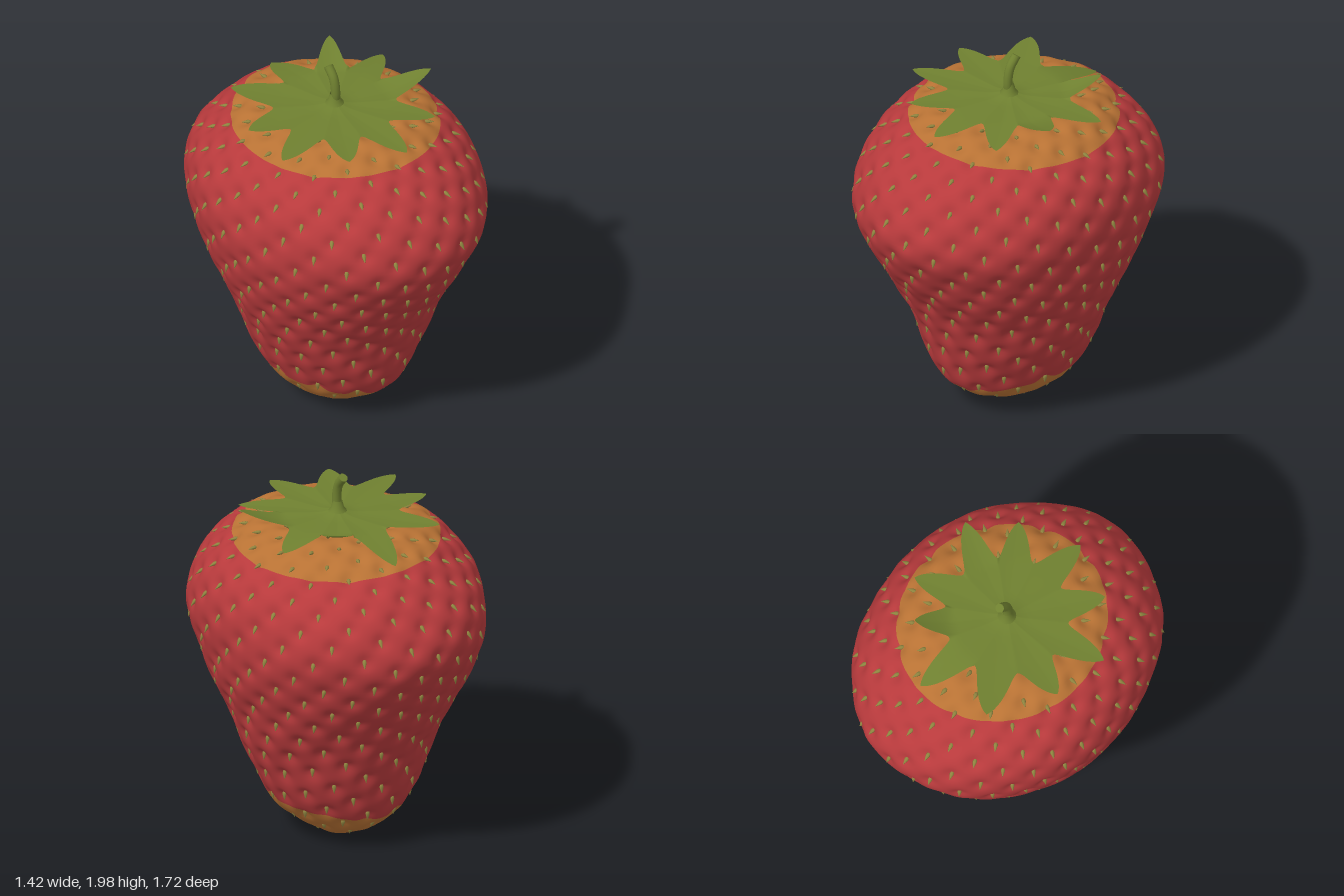
import * as THREE from 'three';
import { mergeGeometries } from 'three/addons/utils/BufferGeometryUtils.js';

const mat = (name, color, side = THREE.FrontSide) => {
  const m = new THREE.MeshStandardMaterial({ color, side });
  m.name = name;
  return m;
};

// Closed ring grid: point(i, j) gives the vertex at column i, row j
function ringGrid(cols, rows, point) {
  const pos = [], idx = [];
  for (let j = 0; j <= rows; j++)
    for (let i = 0; i < cols; i++) pos.push(...point(i, j).toArray());
  for (let j = 0; j < rows; j++)
    for (let i = 0; i < cols; i++) {
      const n = (i + 1) % cols, a = j * cols + i, b = j * cols + n;
      idx.push(a, b, b + cols, a, b + cols, a + cols);
    }
  const g = new THREE.BufferGeometry();
  g.setAttribute('position', new THREE.Float32BufferAttribute(pos, 3));
  g.setIndex(idx);
  g.computeVertexNormals();
  return g;
}

// Body profile: half width in x, half depth in z, height
const profile = new THREE.CatmullRomCurve3([
  [0, 0, 0.02], [0.12, 0.14, 0.04], [0.22, 0.26, 0.1], [0.325, 0.375, 0.2], [0.385, 0.43, 0.3],
  [0.435, 0.465, 0.4], [0.515, 0.53, 0.6], [0.59, 0.63, 0.8], [0.66, 0.75, 1.0], [0.7, 0.848, 1.2],
  [0.703, 0.852, 1.3], [0.685, 0.805, 1.42], [0.645, 0.735, 1.52], [0.575, 0.64, 1.61],
  [0.475, 0.525, 1.69], [0.36, 0.4, 1.737], [0.18, 0.2, 1.755], [0, 0, 1.757],
].map(p => new THREE.Vector3(...p)));
profile.arcLengthDivisions = 600;

const smoothPoint = (s, a) => {
  const p = profile.getPointAt(Math.min(Math.max(s, 0), 1));
  return new THREE.Vector3(p.x * Math.sin(a), p.z, p.y * Math.cos(a) + 0.006);
};

// Seeds spread evenly by area along a golden spiral
function seedSpots(count) {
  const steps = 600, sum = [0], spots = [];
  for (let k = 0; k < steps; k++) {
    const p = profile.getPointAt((k + 0.5) / steps);
    sum.push(sum[k] + p.x + p.y);
  }
  for (let i = 0, k = 0; i < count; i++) {
    const target = sum[steps] * (i + 0.5) / count;
    while (sum[k + 1] < target) k++;
    const s = (k + (target - sum[k]) / (sum[k + 1] - sum[k])) / steps, a = i * 2.399963;
    spots.push({ s, a, p: smoothPoint(s, a) });
  }
  return spots;
}

// Press a dimple around each seed and add gentle lumps
const core = new THREE.Vector3(0, 0.95, 0);
function dimple(p, spots) {
  let d = 0.008 * Math.sin(8 * p.x + 5 * p.y) * Math.sin(7 * p.z + 9 * p.y) - 0.005;
  for (const { p: q } of spots) {
    const r2 = p.distanceToSquared(q);
    if (r2 < 0.02) d += 0.023 * Math.exp(-r2 / 0.0016);
  }
  return p.clone().addScaledVector(core.clone().sub(p).normalize(), d);
}

// Position along the profile where a plan ellipse is crossed
function crossing(lo, hi, a, cx, cz, rx, rz) {
  const inside = s => {
    const p = smoothPoint(s, a);
    return ((p.x - cx) / rx) ** 2 + ((p.z - cz) / rz) ** 2 < 1;
  };
  const start = inside(lo);
  for (let k = 0; k < 18; k++) {
    const mid = (lo + hi) / 2;
    if (inside(mid) === start) lo = mid; else hi = mid;
  }
  return lo;
}

function buildBody(spots, materials) {
  const cols = 220, bands = [18, 84, 26], rows = 128, cuts = [];
  for (let i = 0; i < cols; i++) {
    const a = i / cols * Math.PI * 2;
    cuts.push([0, crossing(0, 0.45, a, 0, 0, 0.365, 0.375),
      crossing(0.62, 1, a, 0.02, -0.015, 0.52, 0.555), 1]);
  }
  const g = ringGrid(cols, rows, (i, j) => {
    let b = 0, k = j;
    while (b < 2 && k > bands[b]) k -= bands[b++];
    const s = THREE.MathUtils.lerp(cuts[i][b], cuts[i][b + 1], k / bands[b]);
    return dimple(smoothPoint(s, i / cols * Math.PI * 2), spots);
  });
  // Ripe skin between an unripe base and shoulder
  let start = 0;
  bands.forEach((n, b) => {
    g.addGroup(start, n * cols * 6, b === 1 ? 0 : 1);
    start += n * cols * 6;
  });
  return new THREE.Mesh(g, materials);
}

function buildSeeds(spots, material) {
  const seed = new THREE.LatheGeometry([[0, -0.032], [0.007, -0.013], [0.0115, 0.004],
    [0.009, 0.016], [0, 0.024]].map(p => new THREE.Vector2(...p)), 7);
  seed.scale(1, 1, 0.8);
  const parts = spots.map(({ s, a, p }) => {
    const up = smoothPoint(s + 0.004, a).sub(smoothPoint(s - 0.004, a)).normalize();
    const side = smoothPoint(s, a + 0.01).sub(smoothPoint(s, a - 0.01)).normalize();
    const out = side.clone().cross(up).normalize();
    // Pointed lower end leans outward
    const axis = up.clone().addScaledVector(out, -0.5).normalize();
    const x = axis.clone().cross(out).normalize(), z = x.clone().cross(axis);
    const m = new THREE.Matrix4().makeBasis(x, axis, z);
    m.setPosition(dimple(p, spots).addScaledVector(out, 0.009));
    return seed.clone().applyMatrix4(m);
  });
  return new THREE.Mesh(mergeGeometries(parts), material);
}

// Leaf tips: x, z and lift above the cap
const tips = [
  [0.03, 0.54, -0.01], [0.336, 0.395, -0.01], [0.495, 0.17, 0.09], [0.48, -0.195, -0.02],
  [0.28, -0.38, 0.09], [0.045, -0.56, -0.075], [-0.32, -0.44, 0.01], [-0.486, -0.1, 0.01],
  [-0.51, 0.2, 0.0], [-0.264, 0.436, 0.01],
].map(([x, z, lift]) => ({ a: (Math.atan2(x, z) + Math.PI * 2) % (Math.PI * 2), r: Math.hypot(x, z), lift }));

function buildCalyx(material) {
  const per = 24, rows = 18, n = tips.length, notch = 0.315;
  const g = ringGrid(n * per, rows, (i, j) => {
    const leaf = Math.floor(i / per), u = (i % per) / per * 2 - 1;
    const t = tips[leaf], next = tips[(leaf + (u < 0 ? n - 1 : 1)) % n];
    const half = ((next.a - t.a + Math.PI * 3) % (Math.PI * 2) - Math.PI) / 2;
    const w = Math.abs(u), a = t.a + half * w;
    const shape = 0.6 * (0.5 + 0.5 * Math.cos(Math.PI * w)) + 0.4 * (1 - w) ** 1.5;
    const f = 1 - j / rows, r = f * (notch + (t.r - notch) * shape);
    const k = Math.max(0, (r - 0.28) / (t.r - 0.28));
    const rib = 0.008 * f * (w - 0.5);
    const y = 1.772 + t.lift * k ** 1.3 + rib + 0.02 * Math.exp(-r * r / 0.004);
    return new THREE.Vector3(r * Math.sin(a), y, r * Math.cos(a));
  });
  return new THREE.Mesh(g, material);
}

function buildStem(material) {
  const group = new THREE.Group();
  const path = new THREE.CatmullRomCurve3([[0, 1.76, 0], [0, 1.85, 0.008], [0, 1.93, -0.008], [0, 1.985, -0.05]]
    .map(p => new THREE.Vector3(...p)));
  const stalk = new THREE.Mesh(new THREE.TubeGeometry(path, 16, 0.024, 12), material);
  stalk.name = 'stalk';
  const end = new THREE.Mesh(new THREE.CircleGeometry(0.024, 12), material);
  end.name = 'stalkEnd';
  end.position.copy(path.getPoint(1));
  end.lookAt(path.getPoint(1).add(path.getTangent(1)));
  const flare = new THREE.Mesh(new THREE.LatheGeometry([[0.055, 1.775], [0.034, 1.8], [0.024, 1.84]]
    .map(p => new THREE.Vector2(...p)), 16), material);
  flare.name = 'stalkFlare';
  group.add(stalk, end, flare);
  return group;
}

export function createModel() {
  const red = mat('ripe red', 0xb83a3c), orange = mat('unripe orange', 0xb87234);
  const green = mat('leaf green', 0x6f8030, THREE.DoubleSide), olive = mat('seed olive', 0x8f8540);
  const spots = seedSpots(370);
  const parts = {
    fruitBody: buildBody(spots, [red, orange]),
    seeds: buildSeeds(spots, olive),
    leafCap: buildCalyx(green),
    stem: buildStem(green),
  };
  const model = new THREE.Group();
  model.name = 'strawberry';
  for (const [name, part] of Object.entries(parts)) {
    part.name = name;
    model.add(part);
  }
  return model;
}
